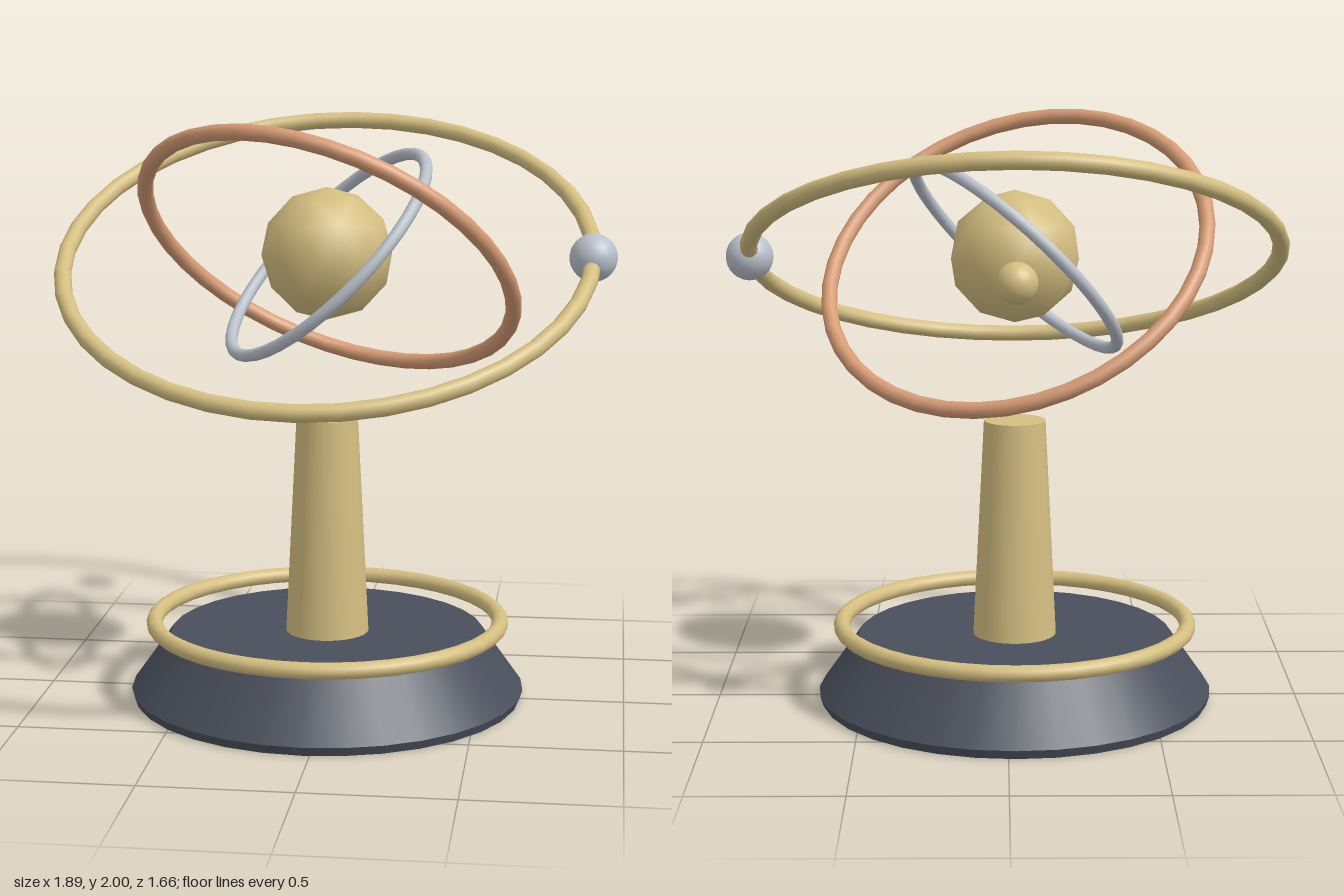
import * as THREE from 'three';

export function createModel() {
  const group = new THREE.Group();
  group.name = 'orbitSculpture';

  const makeMaterial = (name, color) => {
    const m = new THREE.MeshStandardMaterial({ color });
    m.name = name;
    return m;
  };
  const gold = makeMaterial('gold', 0xd4be80);
  const copper = makeMaterial('copper', 0xd69b74);
  const silver = makeMaterial('silver', 0xb9c1cb);
  const slate = makeMaterial('slate', 0x484e5b);

  const CX = -0.025; // axis of the stand
  const CY = 1.535; // height of the orbit centre

  const add = (name, geometry, material, x, y, z) => {
    const mesh = new THREE.Mesh(geometry, material);
    mesh.name = name;
    mesh.position.set(x, y, z);
    group.add(mesh);
    return mesh;
  };

  // Torus whose axis points along the given normal
  const addRing = (name, radius, tube, material, y, normal) => {
    const ring = add(name, new THREE.TorusGeometry(radius, tube, 12, 40), material, CX, y, 0);
    ring.quaternion.setFromUnitVectors(
      new THREE.Vector3(0, 0, 1),
      new THREE.Vector3(...normal).normalize()
    );
  };

  // Stand: thin foot, sloping base, tapered column
  add('baseFoot', new THREE.CylinderGeometry(0.678, 0.668, 0.03, 32), slate, CX, 0.015, 0);
  add('base', new THREE.CylinderGeometry(0.54, 0.678, 0.195, 32), slate, CX, 0.1275, 0);
  add('column', new THREE.CylinderGeometry(0.105, 0.143, 0.755, 32), gold, CX, 0.5975, 0);
  addRing('baseRing', 0.597, 0.028, gold, 0.262, [0, 1, 0]);

  // Tilted orbit rings
  const tilt = THREE.MathUtils.degToRad(26);
  addRing('outerRing', 0.89, 0.029, gold, CY, [0, Math.cos(tilt), Math.sin(tilt)]);
  addRing('middleRing', 0.659, 0.027, copper, CY, [0.277, 0.747, -0.604]);
  addRing('innerRing', 0.452, 0.021, silver, CY, [-0.659, 0.695, 0.287]);

  // Faceted core, turned so that a corner points straight up
  const core = new THREE.IcosahedronGeometry(0.224, 1);
  core.rotateZ(Math.atan(2 / (1 + Math.sqrt(5))));
  add('core', core, gold, CX, CY, 0);

  // Orbiting balls
  add('silverBall', new THREE.SphereGeometry(0.08, 24, 16), silver, 0.865, CY, 0);
  add('goldBall', new THREE.SphereGeometry(0.067, 24, 16), gold, CX, CY, -0.662);

  return group;
}
